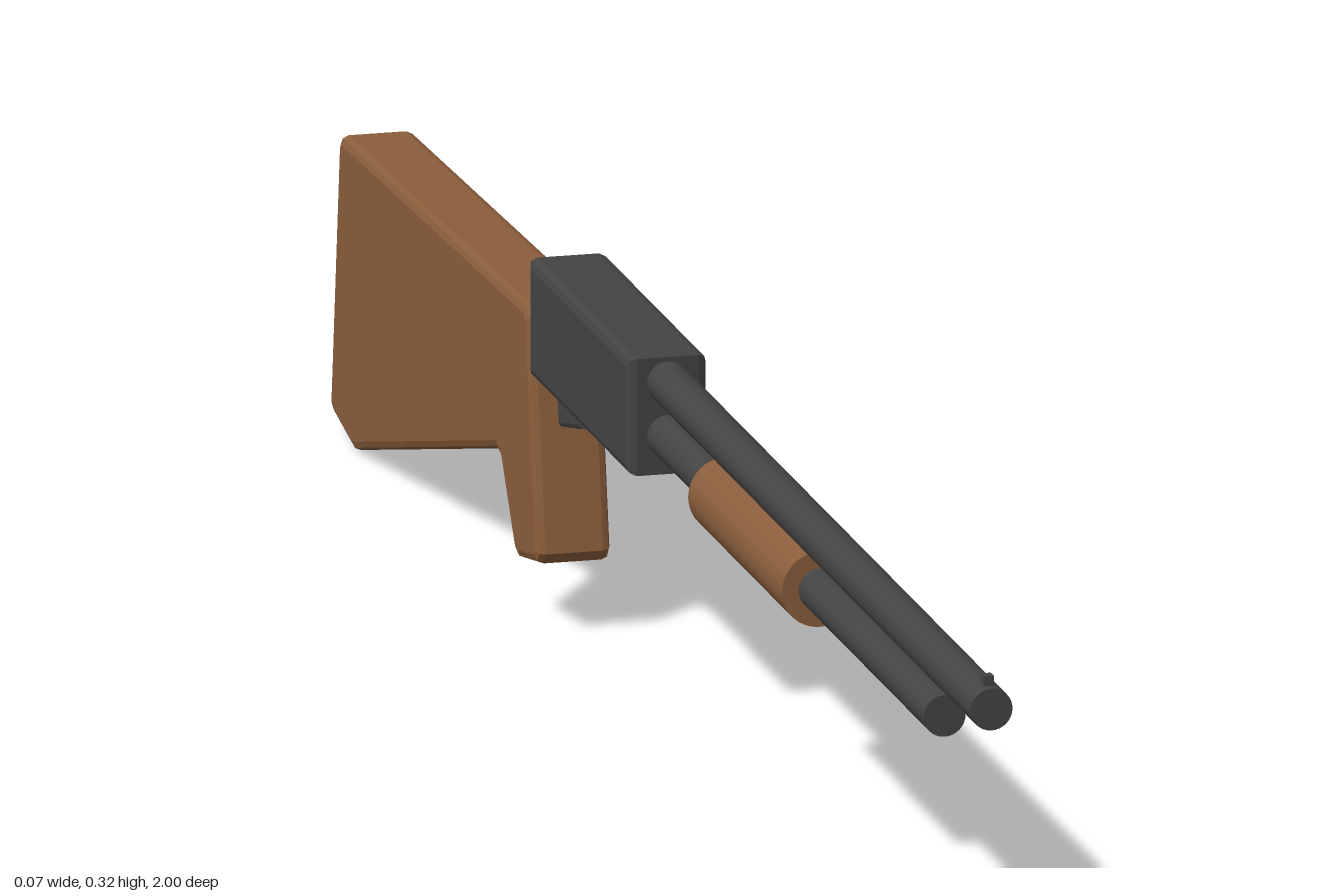
import * as THREE from 'three';

const metal = new THREE.MeshStandardMaterial({ color: 0x444444 });
metal.name = 'darkMetal';
const wood = new THREE.MeshStandardMaterial({ color: 0x8b5e3c });
wood.name = 'wood';

export function createModel() {
  const group = new THREE.Group();

  const add = (name, geometry, material) => {
    const mesh = new THREE.Mesh(geometry, material);
    mesh.name = name;
    group.add(mesh);
    return mesh;
  };

  // Side profile of [z, y] points, extruded across x with bevelled edges
  const slab = (name, points, width, bevel, material) => {
    const shape = new THREE.Shape(points.map(([z, y]) => new THREE.Vector2(-z, y)));
    const depth = width - 2 * bevel;
    const geometry = new THREE.ExtrudeGeometry(shape, {
      depth, bevelEnabled: true, bevelThickness: bevel, bevelSize: bevel,
      bevelOffset: -bevel, bevelSegments: 2,
    });
    geometry.translate(0, 0, -depth / 2);
    geometry.rotateY(Math.PI / 2);
    return add(name, geometry, material);
  };

  // Round bar along z
  const rod = (name, radius, y, back, front, material) => {
    const geometry = new THREE.CylinderGeometry(radius, radius, front - back, 32);
    geometry.rotateX(Math.PI / 2);
    geometry.translate(0, y, (front + back) / 2);
    return add(name, geometry, material);
  };

  // Upper tube, lower tube and sliding grip
  rod('barrel', 0.0175, 0.292, -0.06, 1, metal);
  rod('lowerTube', 0.0175, 0.247, -0.06, 0.85, metal);
  rod('slidingGrip', 0.0315, 0.247, 0.15, 0.45, wood);

  // Front sight
  const sight = add('frontSight', new THREE.BoxGeometry(0.008, 0.014, 0.01), metal);
  sight.position.set(0, 0.311, 0.987);

  // Central body
  slab('receiver', [[-0.035, 0.215], [-0.035, 0.313], [-0.356, 0.313], [-0.356, 0.215]],
    0.066, 0.007, metal);

  // Small lever under the body
  slab('trigger', [[-0.285, 0.217], [-0.283, 0.187], [-0.365, 0.168], [-0.365, 0.217]],
    0.017, 0.004, metal);

  // Shoulder stock with hand grip
  slab('stock', [
    [-0.375, 0.268], [-0.965, 0.254], [-0.972, 0.247], [-1, 0.022], [-0.993, 0.015],
    [-0.925, 0.001], [-0.47, 0.123], [-0.455, 0.119], [-0.41, 0.053], [-0.4, 0.05],
    [-0.34, 0.061], [-0.334, 0.07], [-0.367, 0.26],
  ], 0.062, 0.007, wood);

  return group;
}
